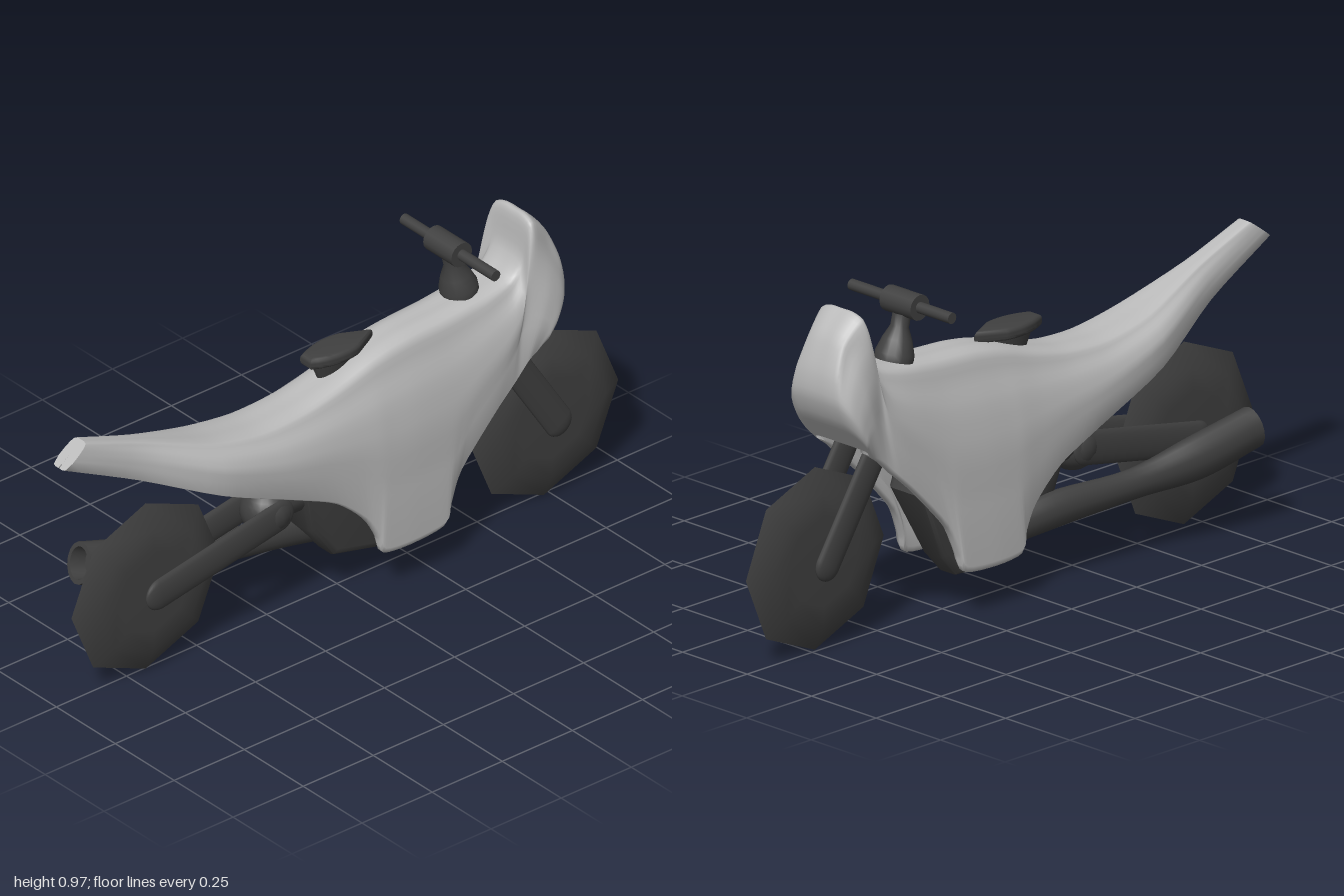
import * as THREE from 'three';
import { toCreasedNormals } from 'three/addons/utils/BufferGeometryUtils.js';

const V = (x, y, z = 0) => new THREE.Vector3(x, y, z);
const MID = 0.01; // centre plane of the bike

export function createModel() {
  const bike = new THREE.Group();
  bike.name = 'motorbike';
  const gray = new THREE.MeshStandardMaterial({ color: 0xbababa, side: THREE.DoubleSide });
  gray.name = 'light gray';
  const dark = new THREE.MeshStandardMaterial({ color: 0x404040, side: THREE.DoubleSide });
  dark.name = 'dark gray';

  function add(name, geometry, material, x = 0, y = 0, z = 0) {
    const mesh = new THREE.Mesh(geometry, material);
    mesh.name = name;
    mesh.position.set(x, y, z);
    bike.add(mesh);
    return mesh;
  }

  // Surface through rings of points, all rings of equal length
  function loft(rings, closed, capStart) {
    const n = rings[0].length, index = [];
    const pos = rings.flat().flatMap(p => [p.x, p.y, p.z]);
    for (let i = 0; i < rings.length - 1; i++) {
      for (let j = 0; j < (closed ? n : n - 1); j++) {
        const a = i * n + j, b = i * n + (j + 1) % n;
        index.push(a, a + n, b, b, a + n, b + n);
      }
    }
    if (capStart) {
      const base = pos.length / 3, c = V(0, 0);
      rings[0].forEach(p => { pos.push(p.x, p.y, p.z); c.add(p); });
      c.divideScalar(n);
      pos.push(c.x, c.y, c.z);
      for (let j = 0; j < n; j++) index.push(base + j, base + (j + 1) % n, base + n);
    }
    const g = new THREE.BufferGeometry();
    g.setAttribute('position', new THREE.Float32BufferAttribute(pos, 3));
    g.setIndex(index);
    g.computeVertexNormals();
    return g;
  }

  // Fairing stations, tail to nose:
  // lower edge x, y, half width; ridge x, y, half width; side half width
  const stations = [
    [-1, 0.78, 0.024, -0.92, 0.84, 0.026, 0.03],
    [-0.75, 0.66, 0.046, -0.72, 0.768, 0.035, 0.05],
    [-0.5, 0.54, 0.11, -0.5, 0.693, 0.075, 0.112],
    [-0.25, 0.43, 0.115, -0.33, 0.665, 0.085, 0.122],
    [-0.1, 0.36, 0.118, -0.18, 0.673, 0.085, 0.123],
    [0, 0.27, 0.122, -0.05, 0.703, 0.085, 0.126],
    [0.04, 0.2, 0.128, 0.05, 0.735, 0.085, 0.13],
    [0.055, 0.15, 0.133, 0.12, 0.752, 0.085, 0.131],
    [0.15, 0.14, 0.135, 0.2, 0.763, 0.085, 0.131],
    [0.27, 0.15, 0.133, 0.32, 0.77, 0.085, 0.128],
    [0.29, 0.2, 0.128, 0.4, 0.777, 0.085, 0.125],
    [0.33, 0.29, 0.122, 0.48, 0.785, 0.085, 0.122],
    [0.45, 0.42, 0.118, 0.56, 0.805, 0.08, 0.118],
    [0.51, 0.475, 0.116, 0.6, 0.86, 0.078, 0.112],
    [0.54, 0.5, 0.115, 0.612, 0.955, 0.09, 0.105],
    [0.56, 0.52, 0.114, 0.632, 0.973, 0.092, 0.108],
    [0.58, 0.54, 0.112, 0.69, 0.91, 0.082, 0.122],
    [0.6, 0.555, 0.11, 0.725, 0.82, 0.095, 0.127],
    [0.61, 0.562, 0.11, 0.73, 0.745, 0.105, 0.128],
    [0.617, 0.568, 0.105, 0.7, 0.67, 0.1, 0.12],
    [0.62, 0.57, 0.1, 0.63, 0.585, 0.09, 0.1],
  ];
  const curve = pick => new THREE.CatmullRomCurve3(stations.map(pick), false, 'catmullrom', 0.4);
  const lower = curve(s => V(s[0], s[1], s[2]));
  const ridge = curve(s => V(s[3], s[4], s[5]));
  const side = curve(s => V(s[6], 0, 0));

  // Half arch: height fraction, share of side width, share of ridge width
  const arch = new THREE.CatmullRomCurve3([
    V(0.3, 1, 0), V(0.55, 1, 0), V(0.75, 0.6, 0.4), V(0.88, 0, 1),
    V(0.97, 0, 0.82), V(1, 0, 0.42), V(1, 0, 0)], false, 'catmullrom', 0.4).getPoints(18);
  const lip = [[0.14, 0.03], [0.03, 0.035], [0, 0.025], [0, 0.01], [0.03, 0]];

  const rings = [];
  const STEPS = 80;
  for (let i = 0; i <= STEPS; i++) {
    const lo = lower.getPoint(i / STEPS), hi = ridge.getPoint(i / STEPS);
    const w = side.getPoint(i / STEPS).x;
    const at = (t, z) => V(lo.x + (hi.x - lo.x) * t, lo.y + (hi.y - lo.y) * t, z);
    const half = lip.map(([t, inset]) => at(t, Math.max(lo.z - inset, 0.002)));
    arch.forEach(a => half.push(at(a.x, a.y * w + a.z * hi.z)));
    const mirrored = half.slice(0, -1).reverse().map(p => V(p.x, p.y, -p.z));
    rings.push([...half, ...mirrored]);
  }
  add('fairing', loft(rings, false, true), gray, 0, 0, MID);

  // Wheels: eight-sided discs with a sharp rim
  const wheelProfile = [[0, -0.036], [0.13, -0.036], [0.195, -0.033], [0.265, 0],
    [0.195, 0.033], [0.13, 0.036], [0, 0.036]].map(p => new THREE.Vector2(p[0], p[1]));
  const wheelGeo = toCreasedNormals(new THREE.LatheGeometry(wheelProfile, 8).rotateX(Math.PI / 2), 0.6);
  add('rearWheel', wheelGeo, dark, -0.69, 0.28, MID);
  add('frontWheel', wheelGeo, dark, 0.73, 0.275, MID);

  // Flattened round-ended arms on both sides of each wheel
  function arms(name, from, to, radius) {
    const d = to.clone().sub(from);
    for (const s of [1, -1]) {
      const g = new THREE.CapsuleGeometry(radius, d.length(), 8, 16).scale(1, 1, 0.014 / radius);
      const m = add(name + (s > 0 ? 'Left' : 'Right'), g, dark,
        (from.x + to.x) / 2, (from.y + to.y) / 2, MID + s * 0.056);
      m.rotation.z = Math.atan2(d.y, d.x) - Math.PI / 2;
    }
  }
  arms('frontFork', V(0.735, 0.27), V(0.56, 0.54), 0.046);
  arms('swingArm', V(-0.685, 0.28), V(-0.26, 0.36), 0.05);
  add('swingPivot', new THREE.SphereGeometry(0.075, 20, 14), dark, -0.26, 0.36, MID);
  const link = add('pivotLink', new THREE.CylinderGeometry(0.06, 0.06, 0.2, 16), dark, -0.17, 0.38, MID);
  link.rotation.z = Math.PI / 2;

  // Engine block, narrower towards the bottom
  const block = new THREE.Shape([[-0.17, 0.42], [-0.13, 0.27], [-0.04, 0.16], [0.13, 0.12],
    [0.21, 0.125], [0.26, 0.18], [0.36, 0.38], [0.3, 0.55], [-0.08, 0.5]]
    .map(p => new THREE.Vector2(p[0], p[1])));
  const engine = new THREE.ExtrudeGeometry(block, {
    depth: 0.1, bevelThickness: 0.025, bevelSize: 0.02, bevelSegments: 3 }).translate(0, 0, -0.05);
  const ep = engine.attributes.position;
  for (let i = 0; i < ep.count; i++) {
    ep.setZ(i, ep.getZ(i) * (0.55 + 0.45 * THREE.MathUtils.smoothstep(ep.getY(i), 0.15, 0.42)));
  }
  engine.computeVertexNormals();
  add('engine', toCreasedNormals(engine, 0.7), dark, 0, 0, MID);

  // Exhaust widening to an open muffler on the right
  const path = new THREE.CatmullRomCurve3([V(0.06, 0.18, -0.02), V(-0.12, 0.215, -0.05),
    V(-0.4, 0.23, -0.085), V(-0.6, 0.265, -0.125), V(-0.79, 0.315, -0.155)]);
  const radii = new THREE.SplineCurve([[0, 0.04], [1, 0.05], [2, 0.042], [3, 0.06], [4, 0.058]]
    .map(p => new THREE.Vector2(p[0], p[1])));
  const pipe = [];
  const pipeRing = (u, r) => {
    const c = path.getPoint(u), ring = [];
    for (let k = 0; k < 16; k++) {
      const a = k / 16 * Math.PI * 2;
      ring.push(V(c.x + 0.25 * Math.cos(a) * r, c.y + Math.cos(a) * r * 1.05, c.z + Math.sin(a) * r * 0.8));
    }
    return ring;
  };
  for (let i = 0; i <= 24; i++) pipe.push(pipeRing(i / 24, radii.getPoint(i / 24).y));
  pipe.push(pipeRing(1, 0.045), pipeRing(0.94, 0.04), pipeRing(0.94, 0.0001));
  add('exhaust', toCreasedNormals(loft(pipe, true, true), 0.7), dark);

  // Saddle pad on a short stem
  const pad = new THREE.Shape();
  pad.moveTo(-0.1, -0.015);
  pad.quadraticCurveTo(-0.03, -0.05, 0.04, -0.033);
  pad.lineTo(0.11, 0);
  pad.lineTo(0.04, 0.033);
  pad.quadraticCurveTo(-0.03, 0.05, -0.1, 0.015);
  const padGeo = new THREE.ExtrudeGeometry(pad, {
    depth: 0.008, bevelThickness: 0.014, bevelSize: 0.012, bevelSegments: 3 }).rotateX(-Math.PI / 2);
  add('seat', toCreasedNormals(padGeo, 0.7), dark, 0, 0.758, 0);
  add('seatStem', new THREE.CylinderGeometry(0.08, 0.05, 0.07, 16).scale(1, 1, 0.4), dark, -0.015, 0.72, 0);

  // Handlebar on a flared post
  const postProfile = [[0.055, 0], [0.055, 0.02], [0.042, 0.06], [0.026, 0.095], [0.026, 0.13]]
    .map(p => new THREE.Vector2(p[0], p[1]));
  const post = add('handlebarPost', new THREE.LatheGeometry(postProfile, 16), dark, 0.437, 0.78, 0);
  post.rotation.z = 0.25;
  const acrossZ = (r, len) => new THREE.CylinderGeometry(r, r, len, 16).rotateX(Math.PI / 2);
  add('handlebarClamp', acrossZ(0.037, 0.12), dark, 0.395, 0.935, 0);
  add('handlebar', acrossZ(0.016, 0.39), dark, 0.395, 0.936, MID);

  return bike;
}
